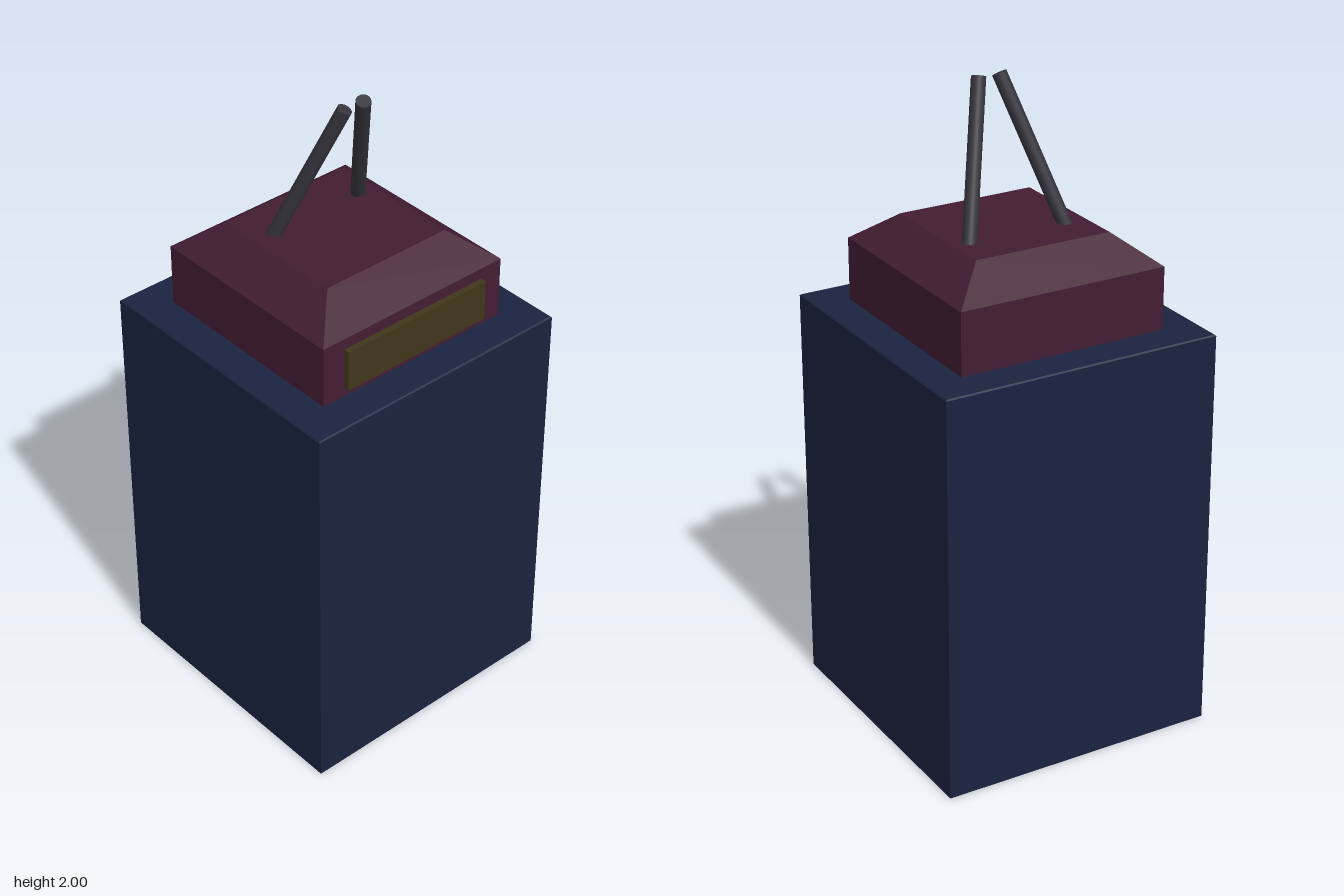
import * as THREE from 'three';

// Square-section shell: profile of [half width, height] from bottom to top, open below
function squareShell(profile) {
  const points = profile.map(([half, y]) => new THREE.Vector2(half * Math.SQRT2, y));
  const geometry = new THREE.LatheGeometry(points, 4, Math.PI / 4).toNonIndexed();
  geometry.computeVertexNormals();
  return geometry;
}

export function createModel() {
  const model = new THREE.Group();

  const add = (name, geometry, color, options = {}) => {
    const mesh = new THREE.Mesh(geometry, new THREE.MeshStandardMaterial({ color, ...options }));
    mesh.name = name;
    model.add(mesh);
    return mesh;
  };
  const shell = { side: THREE.DoubleSide, flatShading: true };

  // Tall body, open underneath, with a fine bevel around the top
  add('body', squareShell([[0.446, 0], [0.446, 1.276], [0.442, 1.28], [0, 1.28]]), 0x1a2340, shell);

  // Head with sloping shoulders
  add('head', squareShell([[0.335, 1.275], [0.335, 1.475], [0.22, 1.566], [0, 1.566]]), 0x431d33, shell);

  // Raised panel on the front of the head
  add('frontPanel', new THREE.BoxGeometry(0.52, 0.13, 0.04), 0x40361b).position.set(0, 1.375, 0.334);

  // Pair of rods leaning inward and forward
  const up = new THREE.Vector3(0, 1, 0);
  for (const side of [-1, 1]) {
    const base = new THREE.Vector3(0.007 + side * 0.165, 1.54, -0.097);
    const tip = new THREE.Vector3(0.007 + side * 0.034, 1.991, 0.071);
    const axis = tip.clone().sub(base);
    const rod = add(side > 0 ? 'leftRod' : 'rightRod',
      new THREE.CylinderGeometry(0.022, 0.022, axis.length(), 16), 0x34333b);
    rod.position.copy(base).add(tip).multiplyScalar(0.5);
    rod.quaternion.setFromUnitVectors(up, axis.normalize());
  }

  return model;
}
